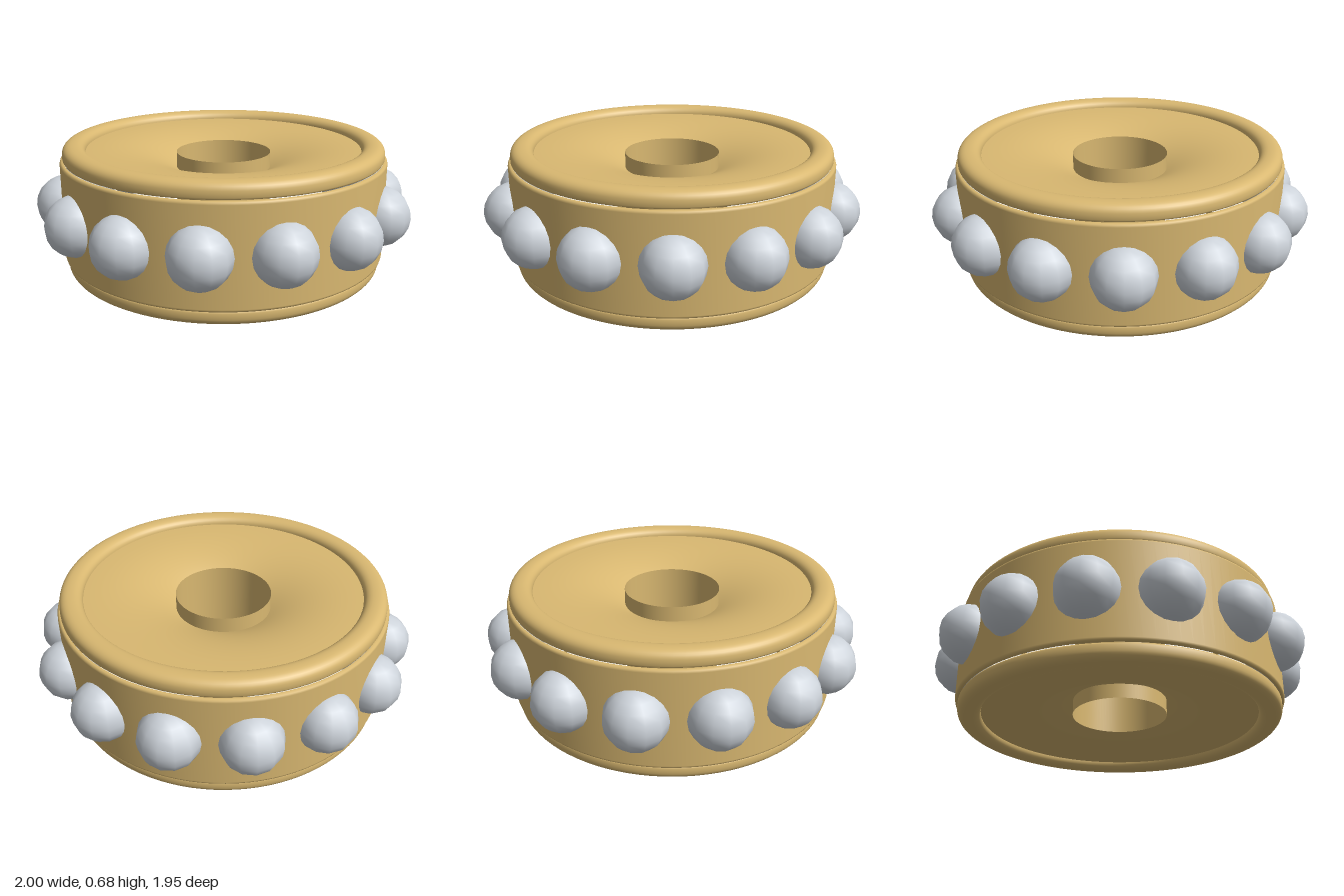
import * as THREE from 'three';

const HEIGHT = 0.68;
const SEGMENTS = 96;

export function createModel() {
  const model = new THREE.Group();
  model.name = 'studdedRing';

  const brass = new THREE.MeshStandardMaterial({ color: 0xd9b871 });
  brass.name = 'brass';
  const brassTube = new THREE.MeshStandardMaterial({ color: 0xd9b871, side: THREE.DoubleSide });
  brassTube.name = 'brass open tube';
  const steel = new THREE.MeshStandardMaterial({ color: 0xcdd3da });
  steel.name = 'steel';

  // Profiles run upward on the outside and inward on the top
  const turn = (name, points, material = brass) => {
    const profile = points.map(([r, y]) => new THREE.Vector2(r, y));
    const mesh = new THREE.Mesh(new THREE.LatheGeometry(profile, SEGMENTS), material);
    mesh.name = name;
    model.add(mesh);
  };
  const flip = (points) => points.map(([r, y]) => [r, HEIGHT - y]).reverse();

  // Drum wall with softly bevelled edges
  turn('drumWall', [
    [0.84, 0.08], [0.85, 0.08], [0.857, 0.085], [0.86, 0.095],
    [0.86, 0.585], [0.857, 0.595], [0.85, 0.6], [0.84, 0.6],
  ]);

  // Rounded lip: short straight side, then a half-round top
  const lip = [[0.83, 0.6], [0.84, 0.603], [0.845, 0.612]];
  for (let i = 0; i <= 16; i++) {
    const a = (i / 16) * Math.PI;
    const c = Math.cos(a);
    lip.push([0.785 + 0.06 * Math.sign(c) * Math.abs(c) ** 0.85, 0.63 + 0.05 * Math.sin(a) ** 0.85]);
  }
  turn('topLip', lip);
  turn('bottomLip', flip(lip));

  // Dish that curves down toward the bore
  const dish = [];
  for (let i = 0; i <= 16; i++) {
    const s = i / 16;
    dish.push([0.728 - 0.478 * s, 0.637 - 0.107 * s ** 2.5]);
  }
  turn('topDish', dish);
  turn('bottomDish', flip(dish));

  // Open sleeve through the centre
  turn('boreSleeve', [[0.25, 0.61], [0.25, 0.34], [0.25, 0.07]], brassTube);

  // Ring of balls set into the wall
  const ball = new THREE.SphereGeometry(0.155, 12, 10);
  const balls = new THREE.Group();
  balls.name = 'balls';
  for (let i = 0; i < 14; i++) {
    const a = (i / 14) * Math.PI * 2;
    const mesh = new THREE.Mesh(ball, steel);
    mesh.name = 'ball';
    mesh.position.set(0.845 * Math.cos(a), HEIGHT / 2, 0.845 * Math.sin(a));
    mesh.rotation.y = -a;
    balls.add(mesh);
  }
  model.add(balls);

  return model;
}
